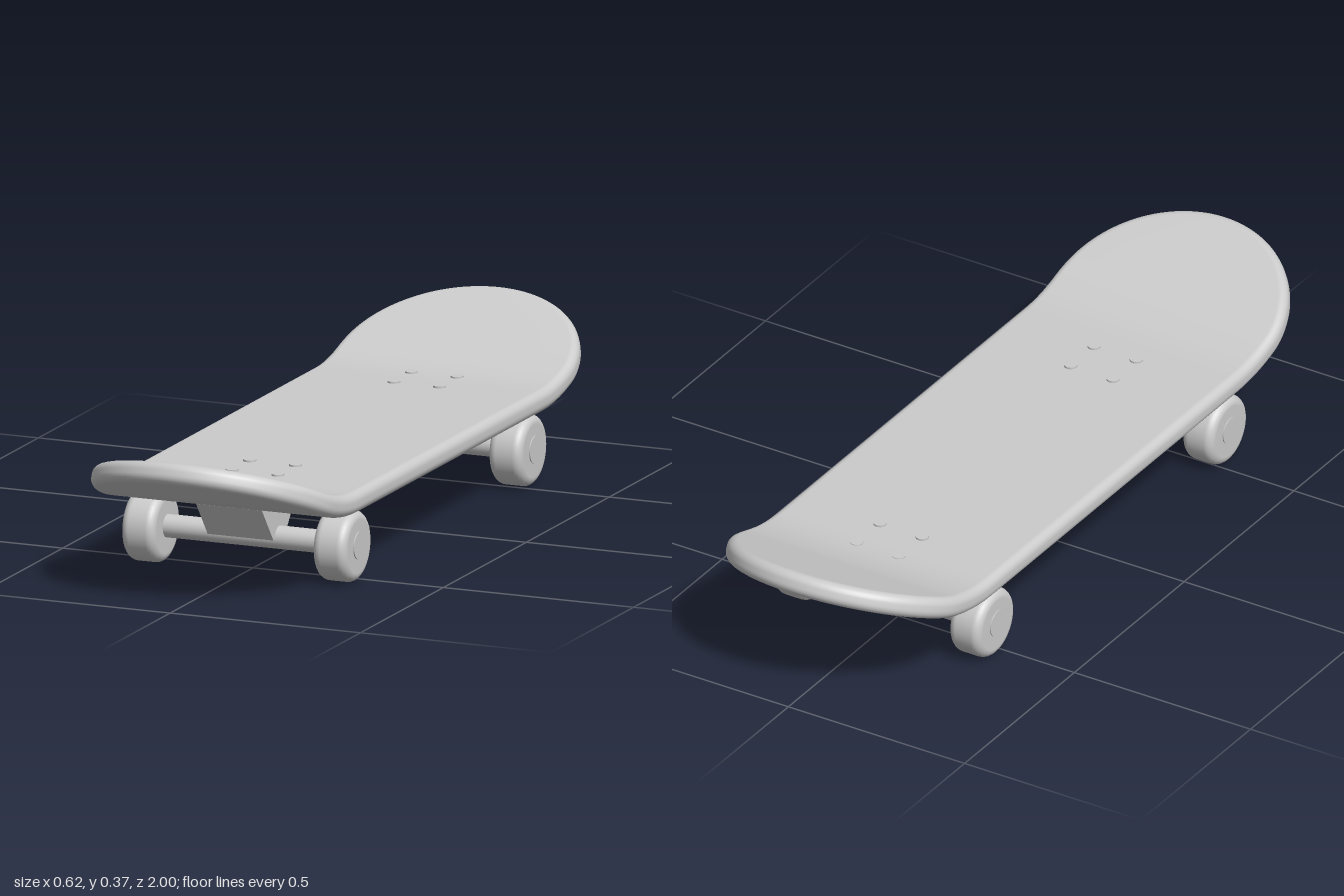
import * as THREE from 'three';

const material = new THREE.MeshStandardMaterial({ color: 0xcccccc });
const twoSided = new THREE.MeshStandardMaterial({ color: 0xcccccc, side: THREE.DoubleSide });

const HALF_WIDTH = 0.308, HALF_LENGTH = 0.997, END = 0.285; // END: length of each rounded end
const MID_Y = 0.2055, HALF_THICK = 0.0275, FILLET = 0.022;
const BEND_START = 0.56, BEND_END = 0.76, SLOPE = 0.42;

// Height and slope of the upturned nose and tail
function bend(z) {
  const a = Math.abs(z), run = BEND_END - BEND_START;
  const t = Math.min(Math.max(a - BEND_START, 0), run);
  const rise = SLOPE * t * t / (2 * run) + SLOPE * Math.max(a - BEND_END, 0);
  return { rise, slope: SLOPE * t / run * Math.sign(z) };
}

// Flat deck point, bent so the thickness follows the curve
function deckPoint(x, z, h) {
  const { rise, slope } = bend(z);
  const n = Math.hypot(1, slope);
  return [x, MID_Y + rise + h / n, z - h * slope / n];
}

function mesh(geometry, name, mat = material) {
  const m = new THREE.Mesh(geometry, mat);
  m.name = name;
  return m;
}

// One long side of the outline from tail tip to nose tip, pulled in by `inset`
function outlineSide(inset) {
  const pts = [], arc = 32, straight = 48;
  const w = HALF_WIDTH - inset, e = END - inset, z0 = HALF_LENGTH - END;
  for (let i = 0; i <= arc; i++) {
    const a = (i / arc) * Math.PI / 2;
    pts.push([w * Math.sin(a), -z0 - e * Math.cos(a)]);
  }
  for (let i = 1; i < straight; i++) pts.push([w, -z0 + 2 * z0 * i / straight]);
  for (let i = 0; i <= arc; i++) {
    const a = (i / arc) * Math.PI / 2;
    pts.push([w * Math.cos(a), z0 + e * Math.sin(a)]);
  }
  return pts;
}

// Deck: stacked outlines for the rounded edge, bridged across at top and bottom
function deckGeometry() {
  const levels = [], steps = 6, core = HALF_THICK - FILLET;
  for (const sign of [-1, 1]) {
    for (let i = 0; i <= steps; i++) {
      const a = (sign < 0 ? 1 - i / steps : i / steps) * Math.PI / 2;
      levels.push([FILLET * (1 - Math.cos(a)), sign * (core + FILLET * Math.sin(a))]);
    }
  }
  const positions = [], index = [];
  let n = 0, ring = 0;
  for (const [inset, h] of levels) {
    const side = outlineSide(inset);
    n = side.length;
    ring = 2 * n - 2;
    for (const [x, z] of side) positions.push(...deckPoint(x, z, h));
    for (let i = n - 2; i > 0; i--) positions.push(...deckPoint(-side[i][0], side[i][1], h));
  }
  for (let l = 0; l < levels.length - 1; l++) {
    for (let i = 0; i < ring; i++) {
      const a = l * ring + i, b = l * ring + (i + 1) % ring;
      index.push(a, a + ring, b, b, a + ring, b + ring);
    }
  }
  const top = (levels.length - 1) * ring;
  for (let i = 0; i < n - 1; i++) {
    const j = (ring - i) % ring, k = ring - i - 1;
    index.push(top + i, top + j, top + i + 1, top + i + 1, top + j, top + k);
    index.push(i, i + 1, j, i + 1, k, j);
  }
  const g = new THREE.BufferGeometry();
  g.setAttribute('position', new THREE.Float32BufferAttribute(positions, 3));
  g.setIndex(index);
  g.computeVertexNormals();
  return g;
}

// Wheel: rounded tyre profile spun around x
function wheelGeometry() {
  const R = 0.0878, w = 0.044, r = 0.022, pts = [new THREE.Vector2(0, -w)];
  for (const s of [-1, 1]) {
    for (let i = 0; i <= 6; i++) {
      const a = (s < 0 ? i / 6 - 1 : i / 6) * Math.PI / 2;
      pts.push(new THREE.Vector2(R - r + r * Math.cos(a), s * (w - r) + r * Math.sin(a)));
    }
  }
  pts.push(new THREE.Vector2(0, w));
  return new THREE.LatheGeometry(pts, 40).rotateZ(Math.PI / 2);
}

// Truck block: trapezoid in side view, wide at the deck
function truckGeometry() {
  const shape = new THREE.Shape([[-0.035, 0.09], [0.035, 0.09], [0.105, 0.18], [-0.105, 0.18]]
    .map(([x, y]) => new THREE.Vector2(x, y)));
  return new THREE.ExtrudeGeometry(shape, { depth: 0.173, bevelEnabled: false })
    .translate(0, 0, -0.0865).rotateY(-Math.PI / 2);
}

export function createModel() {
  const model = new THREE.Group();
  model.name = 'skateboard';
  model.add(mesh(deckGeometry(), 'deck', twoSided));

  const wheel = wheelGeometry(), truck = truckGeometry();
  const axle = new THREE.CylinderGeometry(0.0285, 0.0285, 0.5, 32).rotateZ(Math.PI / 2);
  const cap = new THREE.CylinderGeometry(0.034, 0.034, 0.02, 32).rotateZ(Math.PI / 2);
  const bolt = new THREE.CylinderGeometry(0.016, 0.016, 0.02, 20);

  for (const end of [1, -1]) {
    const name = end > 0 ? 'front' : 'rear';
    const assembly = new THREE.Group();
    assembly.name = name + 'Truck';
    assembly.position.set(-0.0045, 0, end * 0.53);
    assembly.add(mesh(truck, name + 'TruckBlock'));
    const bar = mesh(axle, name + 'Axle');
    bar.position.y = 0.091;
    assembly.add(bar);
    for (const s of [1, -1]) {
      const side = s > 0 ? 'Left' : 'Right';
      const w = mesh(wheel, name + side + 'Wheel');
      w.position.set(s * 0.2515, 0.0878, 0);
      const c = mesh(cap, name + side + 'HubCap');
      c.position.set(s * 0.288, 0.091, 0);
      assembly.add(w, c);
    }
    model.add(assembly);

    // Four mounting bolts above each truck
    for (const x of [-0.06, 0.06]) {
      for (const dz of [-0.053, 0.053]) {
        const b = mesh(bolt, name + 'Bolt');
        b.position.set(x, 0.2275, (end > 0 ? 0.435 : -0.54) + dz);
        model.add(b);
      }
    }
  }
  return model;
}
